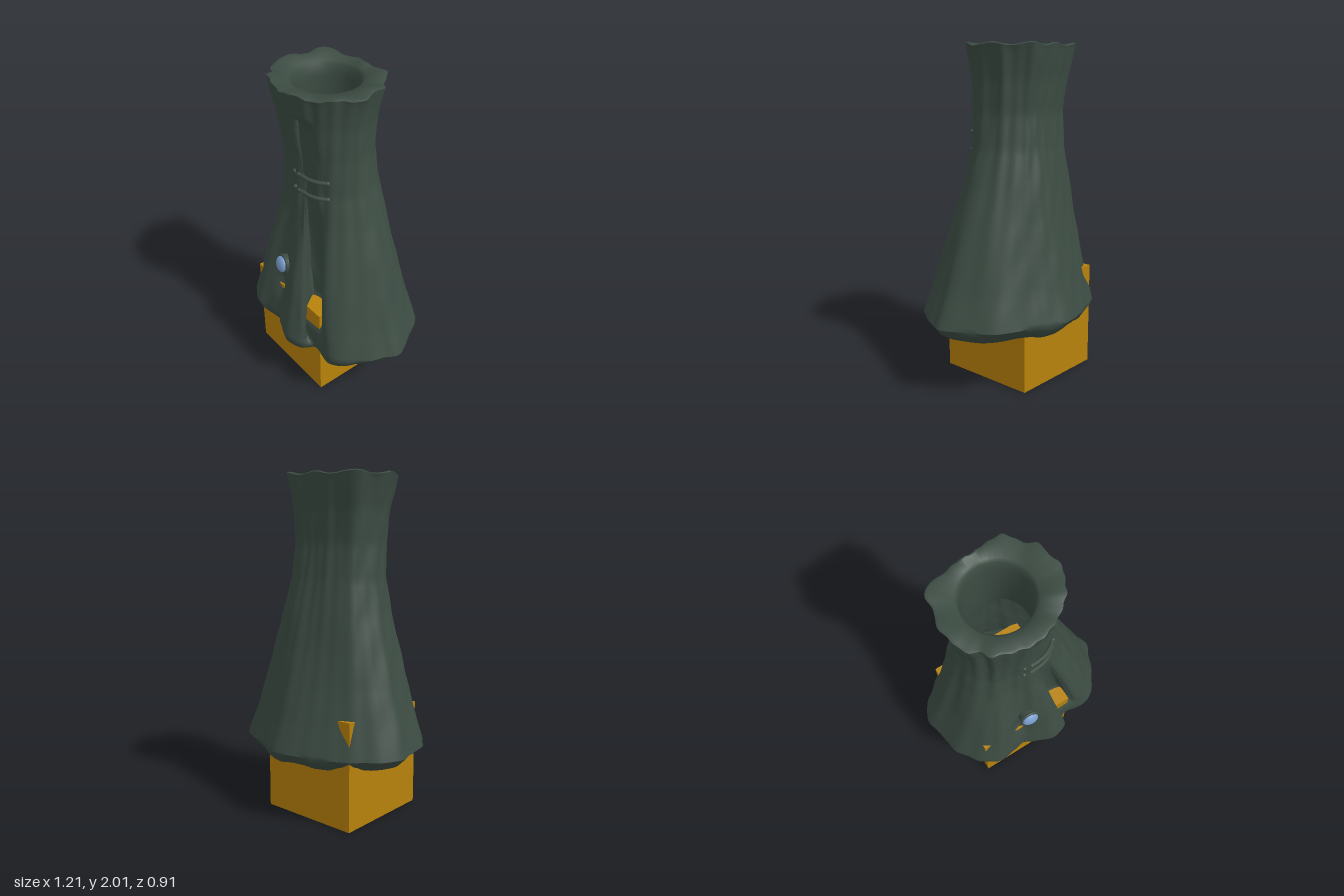
import * as THREE from 'three';
import { toCreasedNormals } from 'three/addons/utils/BufferGeometryUtils.js';

// Hem and collar outlines as x, z pairs, running back -> left -> front -> right
const HEM = [0, -.46, .13, -.43, .25, -.36, .36, -.33, .47, -.25, .52, -.16, .58, -.07, .605, .02, .57, .10,
  .53, .19, .46, .29, .38, .36, .30, .355, .25, .345, .20, .36, .17, .40, .13, .44, .07, .455, 0, .44,
  -.06, .41, -.15, .375, -.25, .385, -.33, .40, -.42, .36, -.50, .27, -.56, .17, -.57, .06, -.605, -.07,
  -.57, -.17, -.49, -.255, -.41, -.32, -.31, -.37, -.20, -.41, -.10, -.44];
const COLLAR = [0, -.26, .05, -.265, .10, -.26, .14, -.22, .19, -.16, .235, -.12, .235, -.06, .26, .02, .25, .08,
  .22, .13, .195, .175, .15, .215, .10, .245, .07, .265, .03, .285, -.01, .297, -.045, .302, -.07, .305, -.10, .305,
  -.14, .295, -.18, .285, -.23, .27, -.28, .25, -.30, .20, -.36, .17, -.385, .11, -.40, .05, -.41, -.02,
  -.375, -.09, -.38, -.16, -.34, -.21, -.26, -.225, -.18, -.25, -.09, -.25];
const COUNT = HEM.length / 2, STEPS = 4;

// Extents by height: y, min x, max x, min z, max z
const EXTENTS = [
  [2, -.41, .26, -.26, .315], [1.9, -.385, .235, -.245, .30], [1.8, -.36, .22, -.225, .28],
  [1.6, -.345, .22, -.207, .255], [1.4, -.355, .25, -.23, .25], [1.2, -.39, .315, -.27, .28],
  [1.0, -.44, .39, -.305, .33], [.8, -.49, .46, -.35, .38], [.6, -.55, .53, -.40, .42],
  [.42, -.605, .605, -.455, .46], [.37, -.55, .565, -.42, .45], [.34, -.48, .52, -.38, .42]];

// Front opening by height: y, flap edge x, far edge x, floor z, flap z
const OPENING = [[1.82, -.02, .05, .225, .255], [1.4, .005, .075, .21, .24], [1.0, .07, .145, .215, .31],
  [.64, .13, .23, .23, .38], [.56, .145, .235, .31, .39], [.52, .155, .235, .345, .395], [.4, .17, .25, .36, .40]];

function lookup(table, y) {
  let i = 0;
  while (i < table.length - 2 && y < table[i + 1][0]) i++;
  const a = table[i], b = table[i + 1];
  const t = THREE.MathUtils.clamp((a[0] - y) / (a[0] - b[0]), 0, 1);
  return a.map((v, k) => v + (b[k] - v) * t);
}

// One closed cross-section of the cloak's outside
function section(y) {
  const t = THREE.MathUtils.clamp((1.8 - y) / 1.38, 0, 1);
  const pts = [];
  for (let i = 0; i < COUNT; i++) {
    pts.push(new THREE.Vector3(
      THREE.MathUtils.lerp(COLLAR[2 * i], HEM[2 * i], t), y,
      THREE.MathUtils.lerp(COLLAR[2 * i + 1], HEM[2 * i + 1], t)));
  }
  const box = new THREE.Box3().setFromPoints(pts);
  const [, x0, x1, z0, z1] = lookup(EXTENTS, y);
  for (const p of pts) {
    p.x = THREE.MathUtils.mapLinear(p.x, box.min.x, box.max.x, x0, x1);
    p.z = THREE.MathUtils.mapLinear(p.z, box.min.z, box.max.z, z0, z1);
  }
  // recess behind the overlapping front flap, fading out at collar and hem
  const w = THREE.MathUtils.smoothstep(y, .36, .48) * (1 - THREE.MathUtils.smoothstep(y, 1.81, 1.84));
  const [, flapX, farX, floorZ, flapZ] = lookup(OPENING, y);
  const place = (i, x, z) => pts[i].lerp(new THREE.Vector3(x, y, z), w);
  place(13, farX, floorZ);
  place(14, flapX - .05 - .03 * THREE.MathUtils.smoothstep(1.2 - y, 0, .4), floorZ);
  place(15, flapX, flapZ);
  const curve = new THREE.CatmullRomCurve3(pts, true, 'centripetal');
  const loop = [];
  for (let i = 0; i < COUNT * STEPS; i++) {
    const p = curve.getPoint(i / (COUNT * STEPS));
    const a = Math.atan2(p.z, p.x + .05);
    const bump = .004 * Math.sin(a * 9 + y * 7) * Math.sin(y * 13 + a * 4) + .003 * Math.sin(a * 23 + y * 3);
    p.x += Math.cos(a) * bump;
    p.z += Math.sin(a) * bump;
    // hollow in the front where the cloth sinks against the stand
    if (p.z > .2) p.z -= .034 * Math.exp(-(((p.x + .14) / .055) ** 2) - ((y - .68) / .11) ** 2);
    if (y < .4) p.y += .008 * Math.sin(a * 7);
    if (y > 1.97) p.y -= .008 * (1 + Math.sin(a * 8));
    loop.push(p);
  }
  return loop;
}

const inset = (loop, k) => loop.map(p => new THREE.Vector3(-.05 + (p.x + .05) * k, p.y, .01 + (p.z - .01) * k));
const ring = (loop, y, r) => loop.map(p => {
  const a = Math.atan2(p.z - .01, p.x + .085);
  return new THREE.Vector3(-.085 + Math.cos(a) * r, y, .01 + Math.sin(a) * r);
});

function cloakGeometry() {
  const rows = [];
  for (let y = 2; y > .43; y -= .03) rows.push(section(y));
  for (const y of [.42, .395, .37, .34]) rows.push(section(y));
  // lining, then back over the collar rim
  rows.push(inset(section(.36), .93));
  for (const y of [.43, .5, .56, .64, .72, .8, .9, 1, 1.1, 1.2, 1.3, 1.4]) rows.push(inset(section(y), .95));
  const top = section(2);
  rows.push(ring(top, 1.55, .186), ring(top, 1.9, .186), ring(top, 1.96, .19), ring(top, 1.98, .205));
  rows.push(inset(top, .96).map(p => p.setY(p.y + .006)));
  const n = COUNT * STEPS, index = [];
  rows.forEach((_, r) => {
    const next = (r + 1) % rows.length;
    for (let i = 0; i < n; i++) {
      const j = (i + 1) % n;
      const a = r * n + i, b = r * n + j, c = next * n + i, d = next * n + j;
      index.push(a, b, c, b, d, c);
    }
  });
  const geo = new THREE.BufferGeometry().setFromPoints(rows.flat());
  geo.setIndex(index);
  return toCreasedNormals(geo, .9);
}

export function createModel() {
  const model = new THREE.Group();
  const material = (name, color) => Object.assign(new THREE.MeshStandardMaterial({ color }), { name });
  const cloth = material('dark green cloth', 0x3c4c43);
  const gold = material('gold', 0xb8820b);
  const blue = material('blue gem', 0x7a9ccc);
  cloth.side = THREE.DoubleSide;
  const add = (name, geo, mat, parent = model) => {
    const mesh = new THREE.Mesh(geo, mat);
    mesh.name = name;
    parent.add(mesh);
    return mesh;
  };

  add('cloak', cloakGeometry(), cloth);

  // square stand under the cloak
  add('stand', new THREE.BoxGeometry(.63, .64, .63), gold).position.set(-.085, .32, .015);

  // two clasp bars across the opening, each with a button
  for (const y of [1.49, 1.385]) {
    const clasp = new THREE.Group();
    clasp.name = 'clasp';
    const path = new THREE.CatmullRomCurve3([[-.03, .253], [.05, .245], [.10, .225], [.145, .19]]
      .map(([x, z]) => new THREE.Vector3(x, y, z)));
    add('claspBar', new THREE.TubeGeometry(path, 12, .012, 8), cloth, clasp);
    for (const t of [0, 1]) {
      add('claspEnd', new THREE.SphereGeometry(.014, 10, 8), cloth, clasp).position.copy(path.getPoint(t));
    }
    add('claspButton', new THREE.SphereGeometry(.015, 10, 8), cloth, clasp).position.set(-.073, y, .247);
    model.add(clasp);
  }

  // round brooch on the chest
  const brooch = new THREE.Group();
  brooch.name = 'brooch';
  add('broochRim', new THREE.TorusGeometry(.055, .009, 10, 32), cloth, brooch);
  const back = add('broochBack', new THREE.CylinderGeometry(.058, .058, .05, 32), cloth, brooch);
  back.rotation.x = Math.PI / 2;
  back.position.z = -.025;
  const gem = add('broochGem', new THREE.SphereGeometry(.051, 24, 16), blue, brooch);
  gem.scale.z = .5;
  gem.position.z = .006;
  brooch.position.set(-.09, .86, .358);
  brooch.rotation.set(-.2, -.1, 0);
  model.add(brooch);

  return model;
}
